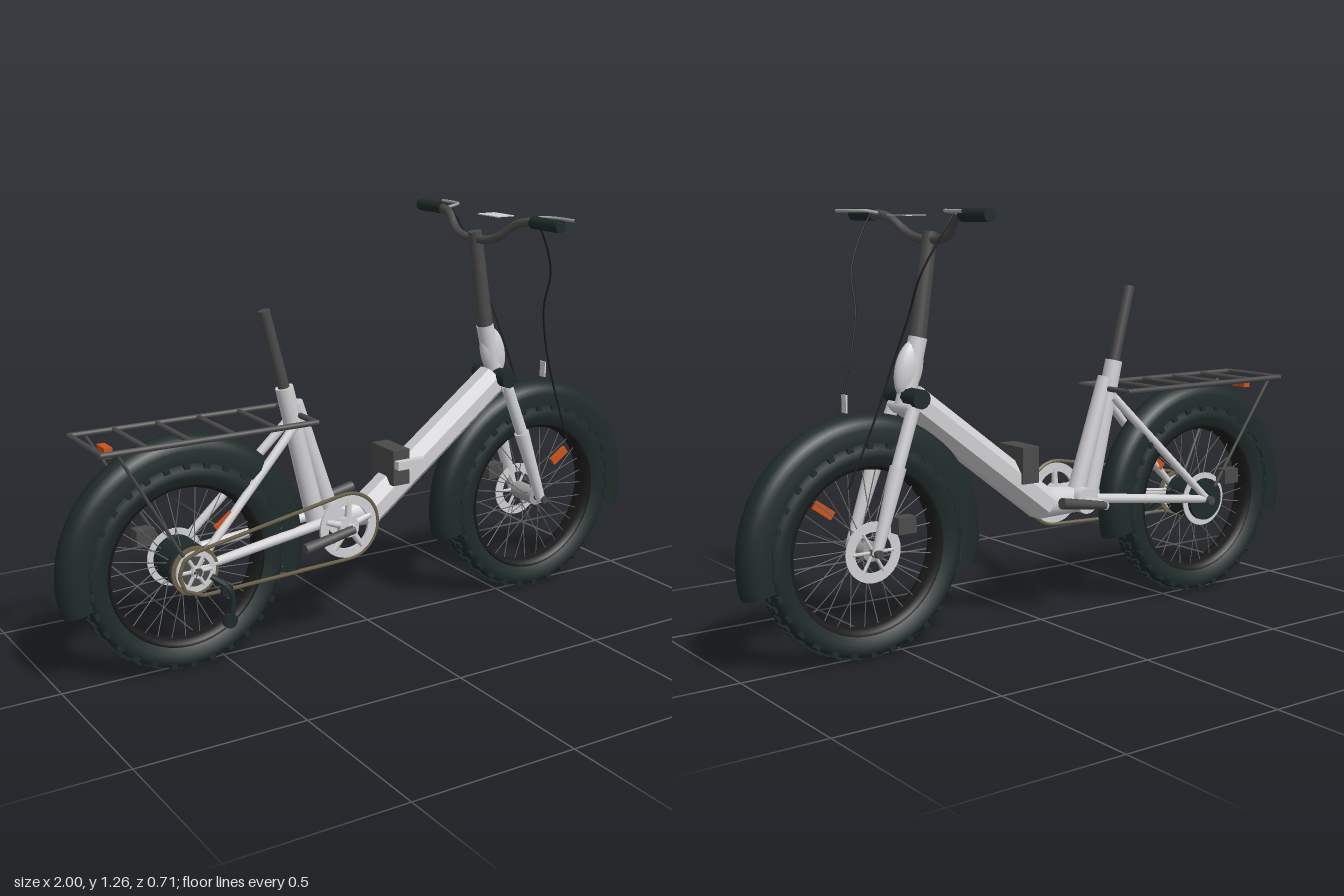
import * as THREE from 'three';
import { mergeGeometries } from 'three/addons/utils/BufferGeometryUtils.js';

const V = (x, y, z = 0) => new THREE.Vector3(x, y, z);
const paint = (name, color, side = THREE.FrontSide) => {
  const m = new THREE.MeshStandardMaterial({ color, side });
  m.name = name;
  return m;
};

export function createModel() {
  const silver = paint('silver frame', 0xcfcfd2);
  const rubber = paint('dark rubber', 0x1e2a29, THREE.DoubleSide);
  const graphite = paint('graphite', 0x4a4a4a);
  const black = paint('black cable', 0x1c1c1c);
  const steel = paint('steel', 0x9c9c9c);
  const spokeGrey = paint('spoke grey', 0x6a6a6a);
  const brass = paint('chain brass', 0x6c634c);
  const orange = paint('orange reflector', 0xc9521f);

  const bike = new THREE.Group();
  bike.name = 'foldingBike';
  const add = (name, geo, mat, parent = bike) => {
    const m = new THREE.Mesh(geo, mat);
    m.name = name;
    parent.add(m);
    return m;
  };
  // Tapered round bar from a to b
  const rodGeo = (a, b, r1, r2 = r1, seg = 12) => {
    const d = b.clone().sub(a);
    const g = new THREE.CylinderGeometry(r2, r1, d.length(), seg);
    g.applyQuaternion(new THREE.Quaternion().setFromUnitVectors(V(0, 1), d.normalize()));
    return g.translate((a.x + b.x) / 2, (a.y + b.y) / 2, (a.z + b.z) / 2);
  };
  const rod = (name, mat, a, b, r1, r2, seg) => add(name, rodGeo(a, b, r1, r2, seg), mat);
  const box = (name, mat, x, y, z, w, h, d, turn = 0) => {
    const m = add(name, new THREE.BoxGeometry(w, h, d), mat);
    m.position.set(x, y, z);
    m.rotation.z = turn;
    return m;
  };
  const tube = (name, mat, pts, r, n = 40) =>
    add(name, new THREE.TubeGeometry(new THREE.CatmullRomCurve3(pts), n, r, 8), mat);
  const disc = (name, mat, x, y, z, r, w, seg = 32) =>
    rod(name, mat, V(x, y, z - w / 2), V(x, y, z + w / 2), r, r, seg);
  // Flat ring around a z axle
  const ring = (name, mat, x, y, z, r, hole, w) => {
    const s = new THREE.Shape().absarc(0, 0, r, 0, Math.PI * 2);
    s.holes.push(new THREE.Path().absarc(0, 0, hole, 0, Math.PI * 2, true));
    const g = new THREE.ExtrudeGeometry(s, { depth: w, bevelEnabled: false, curveSegments: 20 });
    return add(name, g.translate(x, y, z - w / 2), mat);
  };
  // Profile of [radius, z] spun around a z axle
  const spin = (pts, seg, start, len) => new THREE.LatheGeometry(
    pts.map(p => new THREE.Vector2(p[0], p[1])), seg, start, len).rotateX(Math.PI / 2);

  // Wheels: tyre with knobs, rim, spokes, fender, brake and reflector
  const axleY = 0.318;
  const wheel = (name, x, reflectorZ) => {
    const w = new THREE.Group();
    w.name = name;
    w.position.set(x, axleY, 0);
    bike.add(w);
    add('tyre', spin([[0.24, -0.034], [0.264, -0.047], [0.288, -0.049], [0.303, -0.036], [0.308, 0],
      [0.303, 0.036], [0.288, 0.049], [0.264, 0.047], [0.24, 0.034]], 64), rubber, w);
    add('rim', spin([[0.245, -0.036], [0.245, 0.036], [0.234, 0.036], [0.226, 0.015], [0.226, -0.015],
      [0.234, -0.036], [0.245, -0.036]], 64), black, w);
    const knobs = [], spokes = [];
    for (let i = 0; i < 60; i++) {
      const rows = i % 2 ? [[0.306, -0.014], [0.306, 0.014]] : [[0.306, 0], [0.296, -0.042], [0.296, 0.042]];
      for (const [r, z] of rows) {
        knobs.push(new THREE.BoxGeometry(0.018, 0.014, 0.02).translate(0, r, z).rotateZ(i * Math.PI / 30));
      }
    }
    for (let i = 0; i < 32; i++) {
      const a = i * Math.PI / 16, b = a + (i % 4 < 2 ? 0.3 : -0.3), z = i % 2 ? 0.04 : -0.04;
      spokes.push(rodGeo(V(Math.cos(b) * 0.035, Math.sin(b) * 0.035, z),
        V(Math.cos(a) * 0.23, Math.sin(a) * 0.23, 0), 0.0015, 0.0015, 5));
    }
    add('treadKnobs', mergeGeometries(knobs), rubber, w);
    add('spokes', mergeGeometries(spokes), spokeGrey, w);
    const fender = add('fender', spin([[0.302, -0.048], [0.34, -0.049], [0.36, -0.041], [0.375, -0.024], [0.381, 0],
      [0.375, 0.024], [0.36, 0.041], [0.34, 0.049], [0.302, 0.048]], 56,
    Math.PI / 2 - 0.25, Math.PI + 0.5), rubber, w);
    fender.position.y = 0.002;
    box('wheelReflector', orange, x + 0.108, 0.436, reflectorZ, 0.065, 0.026, 0.012, 0.62);
    box('brakeCaliper', graphite, x - 0.085, 0.39, -0.08, 0.058, 0.047, 0.042);
    ring('brakeRotor', silver, x, axleY, -0.056, 0.087, 0.058, 0.004);
    for (let i = 0; i < 6; i++) {
      const a = i * Math.PI / 3;
      rod('rotorArm', silver, V(x, axleY, -0.056),
        V(x + 0.065 * Math.cos(a), axleY + 0.065 * Math.sin(a), -0.056), 0.005, 0.005, 6);
    }
  };
  wheel('rearWheel', -0.62, 0.055);
  wheel('frontWheel', 0.62, 0.025);
  disc('frontHub', steel, 0.62, axleY, 0, 0.028, 0.1);
  disc('frontAxle', graphite, 0.62, axleY, 0, 0.012, 0.19, 12);
  disc('hubMotor', rubber, -0.62, axleY, -0.01, 0.068, 0.12);
  disc('rearAxle', graphite, -0.62, axleY, 0, 0.014, 0.2, 12);

  // Folding main beam: octagonal tube with a flat face on top
  const from = V(-0.005, 0.367), to = V(0.465, 0.725);
  const beamGeo = new THREE.CylinderGeometry(0.051, 0.053, from.distanceTo(to), 8).rotateY(Math.PI / 8).toNonIndexed();
  beamGeo.computeVertexNormals();
  const beam = add('mainBeam', beamGeo, silver);
  beam.position.copy(from).lerp(to, 0.5);
  beam.rotation.z = Math.atan2(to.y - from.y, to.x - from.x) - Math.PI / 2;
  beam.scale.z = 1.1;
  rod('beamElbow', silver, V(-0.15, 0.365), V(0.012, 0.374), 0.038, 0.05, 20);
  box('foldingHinge', graphite, 0.083, 0.505, 0, 0.058, 0.11, 0.125);
  box('hingeLatch', silver, 0.105, 0.517, 0.073, 0.095, 0.026, 0.025);

  // Seat tubes and post
  rod('seatTube', silver, V(-0.183, 0.37), V(-0.284, 0.79), 0.03, 0.027, 20);
  rod('seatBrace', silver, V(-0.132, 0.38), V(-0.25, 0.74), 0.028, 0.024, 20);
  rod('seatPost', graphite, V(-0.28, 0.77), V(-0.345, 1.02), 0.017, 0.017, 20);
  disc('bottomBracket', silver, -0.135, 0.37, 0, 0.04, 0.12, 24);

  // Steering column
  rod('headTube', silver, V(0.48, 0.71), V(0.432, 0.9), 0.028, 0.027, 20);
  const bulb = add('stemHinge', new THREE.SphereGeometry(1, 24, 16), silver);
  bulb.scale.set(0.043, 0.082, 0.028);
  bulb.position.set(0.464, 0.812, 0);
  bulb.rotation.z = 0.25;
  disc('headClamp', rubber, 0.472, 0.735, 0, 0.028, 0.166, 12);
  rod('stem', graphite, V(0.436, 0.88), V(0.387, 1.195), 0.025, 0.021, 20);
  rod('forkCrown', silver, V(0.483, 0.705, -0.058), V(0.483, 0.705, 0.058), 0.021);

  const half = [[0.39, 1.175, 0.06], [0.395, 1.19, 0.11], [0.415, 1.233, 0.175], [0.427, 1.243, 0.23], [0.43, 1.242, 0.34]];
  tube('handlebar', graphite, [...half.map(p => V(p[0], p[1], -p[2])).reverse(), V(0.39, 1.172),
    ...half.map(p => V(...p))], 0.013, 64);
  box('displayPlate', silver, 0.464, 1.24, 0, 0.065, 0.003, 0.1);
  box('frontReflector', silver, 0.67, 0.73, 0, 0.005, 0.05, 0.025);

  // Mirrored parts on both sides
  for (const s of [1, -1]) {
    rod('forkLegUpper', silver, V(0.482, 0.71, s * 0.054), V(0.555, 0.51, s * 0.065), 0.019, 0.019, 16);
    rod('forkLegLower', silver, V(0.54, 0.55, s * 0.063), V(0.62, 0.31, s * 0.074), 0.024, 0.015, 16);
    rod('seatStay', silver, V(-0.262, 0.68, s * 0.025), V(-0.62, 0.32, s * 0.075), 0.014, 0.012);
    rod('chainStay', silver, V(-0.18, 0.37, s * 0.04), V(-0.62, 0.32, s * 0.075), 0.016, 0.013);
    rod('grip', rubber, V(0.43, 1.242, s * 0.23), V(0.43, 1.242, s * 0.357), 0.019, 0.019, 16);
    tube('brakeLever', steel, [V(0.43, 1.245, s * 0.21), V(0.47, 1.252, s * 0.215),
      V(0.497, 1.252, s * 0.25), V(0.5, 1.252, s * 0.335)], 0.005, 20);
    tube('brakeCable', black, [V(0.45, 1.245, s * 0.218), V(0.48, 1.2, s * 0.215), V(0.538, 1.08, s * 0.185),
      V(0.55, 0.97, s * 0.143), V(0.585, 0.84, s * 0.115), V(0.64, 0.68, s * 0.1), V(0.71, 0.51, s * 0.085)], 0.003);
    rod('rackSideRail', graphite, V(-0.9, 0.705, s * 0.118), V(-0.24, 0.705, s * 0.118), 0.0085);
    rod('rackStrut', graphite, V(-0.85, 0.7, s * 0.116), V(-0.65, 0.36, s * 0.08), 0.005);
    // Crank spindle and arm, opposed on the two sides
    rod('crankSpindle', silver, V(-0.135, 0.37, 0), V(-0.135, 0.37, s * 0.148), 0.013);
    rod('crankArm', graphite, V(-0.135, 0.37, s * 0.142), V(-0.135 - s * 0.17, 0.37 - s * 0.028, s * 0.15), 0.013, 0.017, 10);
  }

  // Rack cross bars and tail reflector
  for (let i = 0; i < 6; i++) {
    const x = -0.895 + i * 0.13;
    rod('rackCrossBar', graphite, V(x, 0.705, -0.12), V(x, 0.705, 0.12), 0.0085);
  }
  box('tailReflector', orange, -0.84, 0.682, 0, 0.024, 0.03, 0.055);

  // Chainring with spider
  const cz = 0.108;
  ring('chainring', silver, -0.135, 0.37, cz, 0.096, 0.068, 0.008);
  disc('spiderHub', silver, -0.135, 0.37, cz, 0.032, 0.02);
  for (let i = 0; i < 5; i++) {
    const a = i * Math.PI * 0.4 + 0.3;
    rod('spiderArm', silver, V(-0.135, 0.37, cz), V(-0.135 + 0.08 * Math.cos(a), 0.37 + 0.08 * Math.sin(a), cz), 0.012, 0.009, 8);
  }
  // Cassette
  ring('largeSprocket', brass, -0.62, axleY, 0.078, 0.072, 0.06, 0.008);
  ring('middleSprocket', silver, -0.62, axleY, 0.082, 0.061, 0.045, 0.01);
  disc('cassetteBody', graphite, -0.62, axleY, 0.078, 0.046, 0.01);
  for (let i = 0; i < 6; i++) {
    const a = i * Math.PI / 3;
    rod('sprocketArm', silver, V(-0.62, axleY, 0.084),
      V(-0.62 + 0.05 * Math.cos(a), axleY + 0.05 * Math.sin(a), 0.084), 0.006, 0.006, 6);
  }
  disc('axleNut', silver, -0.62, axleY, 0.09, 0.018, 0.02, 6);

  // Chain loop
  const path = [V(-0.62, 0.386, cz)];
  for (let i = 0; i <= 12; i++) {
    const a = 1.7 - i * 0.275;
    path.push(V(-0.135 + 0.102 * Math.cos(a), 0.37 + 0.102 * Math.sin(a), cz));
  }
  path.push(V(-0.35, 0.26, cz), V(-0.53, 0.254, cz), V(-0.61, 0.252, cz),
    V(-0.665, 0.275, cz), V(-0.682, 0.32, cz), V(-0.665, 0.365, cz), V(-0.62, 0.386, cz));
  const loop = new THREE.CurvePath();
  for (let i = 1; i < path.length; i++) loop.add(new THREE.LineCurve3(path[i - 1], path[i]));
  add('chain', new THREE.TubeGeometry(loop, 160, 0.006, 5), brass);

  // Derailleur
  tube('derailleurCage', rubber, [V(-0.58, 0.3, 0.1), V(-0.54, 0.265, 0.128), V(-0.53, 0.22, 0.132), V(-0.54, 0.165, 0.13)], 0.009, 20);
  disc('upperPulley', rubber, -0.545, 0.26, 0.125, 0.018, 0.014, 14);
  disc('lowerPulley', rubber, -0.54, 0.168, 0.13, 0.022, 0.014, 14);
  return bike;
}
